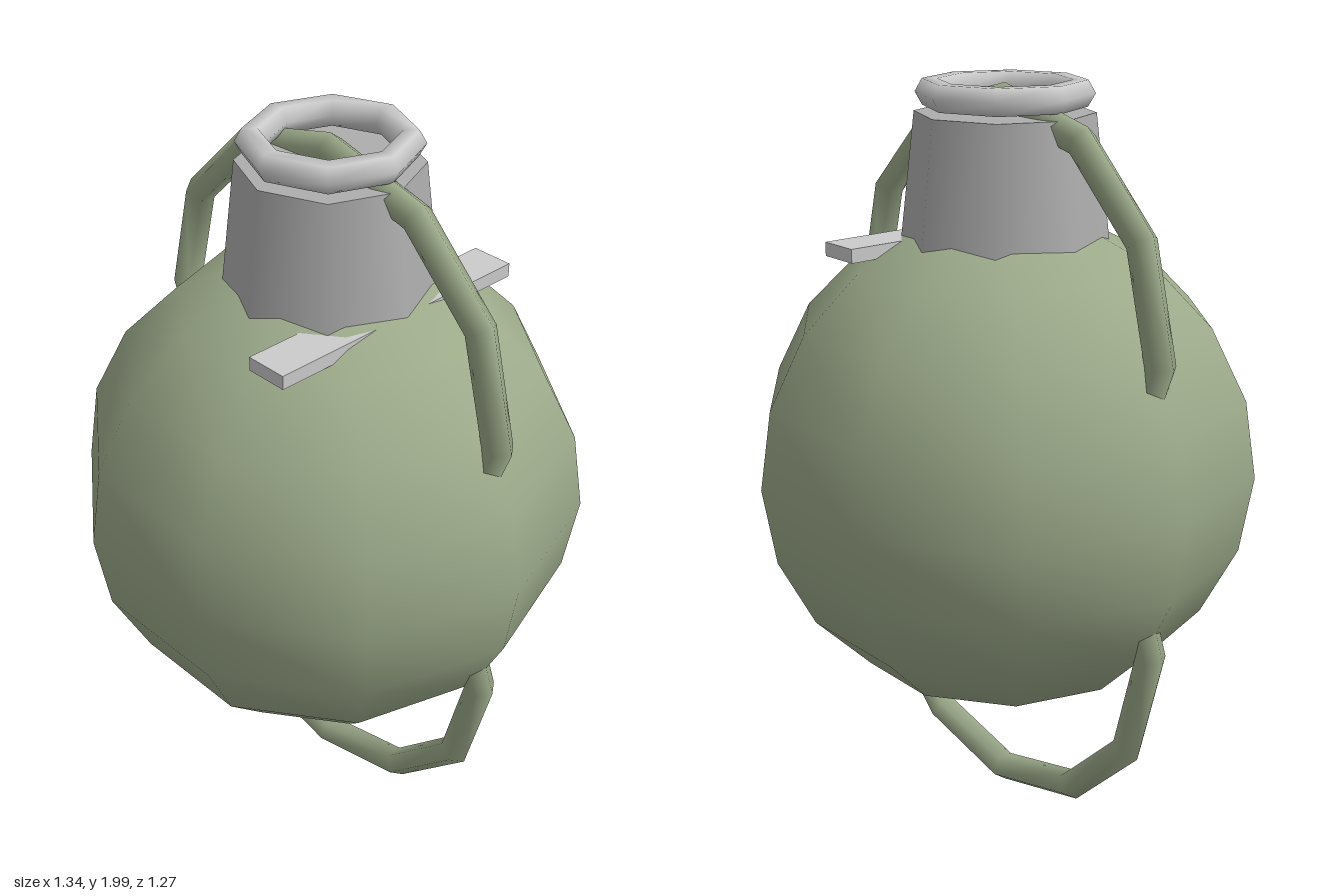
import * as THREE from 'three';

const paint = (color) => new THREE.MeshStandardMaterial({ color });

// Closed loop swept in the XY plane; the outline is its outer edge, corners are mitred.
function sweepLoop(outline, radius, sides) {
  const pos = [], index = [], n = outline.length;
  outline.forEach((p, i) => {
    const a = p.clone().sub(outline[(i + n - 1) % n]).normalize();
    const b = outline[(i + 1) % n].clone().sub(p).normalize();
    const t = a.clone().add(b).normalize();
    const out = new THREE.Vector2(t.y, -t.x).multiplyScalar(radius / t.dot(b));
    for (let j = 0; j < sides; j++) {
      const w = (j / sides) * Math.PI * 2, k = Math.cos(w) - 1;
      pos.push(p.x + out.x * k, p.y + out.y * k, radius * Math.sin(w));
      const j2 = (j + 1) % sides, i2 = (i + 1) % n;
      const v0 = i * sides + j, v1 = i2 * sides + j, v2 = i2 * sides + j2, v3 = i * sides + j2;
      index.push(v0, v1, v2, v0, v2, v3);
    }
  });
  const g = new THREE.BufferGeometry();
  g.setAttribute('position', new THREE.Float32BufferAttribute(pos, 3));
  g.setIndex(index);
  g.computeVertexNormals();
  return g;
}

export function createModel() {
  const model = new THREE.Group();
  const green = paint(0x9caa8a), grey = paint(0xcccccc), darkGrey = paint(0xaeaeae);
  const add = (name, geometry, material, y = 0) => {
    const mesh = new THREE.Mesh(geometry, material);
    mesh.name = name;
    mesh.position.y = y;
    model.add(mesh);
    return mesh;
  };

  // Round body
  add('body', new THREE.SphereGeometry(0.67, 10, 10), green, 1);

  // Tapered octagonal neck, sunk into the body
  add('neck', new THREE.CylinderGeometry(0.23, 0.28, 0.42, 8), darkGrey, 1.71);

  // Ring on top of the neck
  add('topRing', new THREE.TorusGeometry(0.189, 0.038, 6, 8).rotateX(Math.PI / 2), grey, 1.967);

  // Bar passing through the body, its ends showing as tabs
  add('crossBar', new THREE.BoxGeometry(0.115, 0.036, 0.77), grey, 1.583).position.x = 0.192;

  // Long hoop around the body: one quarter mirrored to all four
  const quarter = [[0.305, 0.915], [0.534, 0.69], [0.614, 0.38], [0.5, 0.07]];
  const flip = (sx, sy) => quarter.map(([x, y]) => new THREE.Vector2(sx * x, sy * y));
  const outline = [
    new THREE.Vector2(0, -0.992), ...flip(1, -1), ...flip(1, 1).reverse(),
    new THREE.Vector2(0, 0.992), ...flip(-1, 1), ...flip(-1, -1).reverse(),
  ];
  add('hoop', sweepLoop(outline, 0.04, 5), green, 1);

  return model;
}
